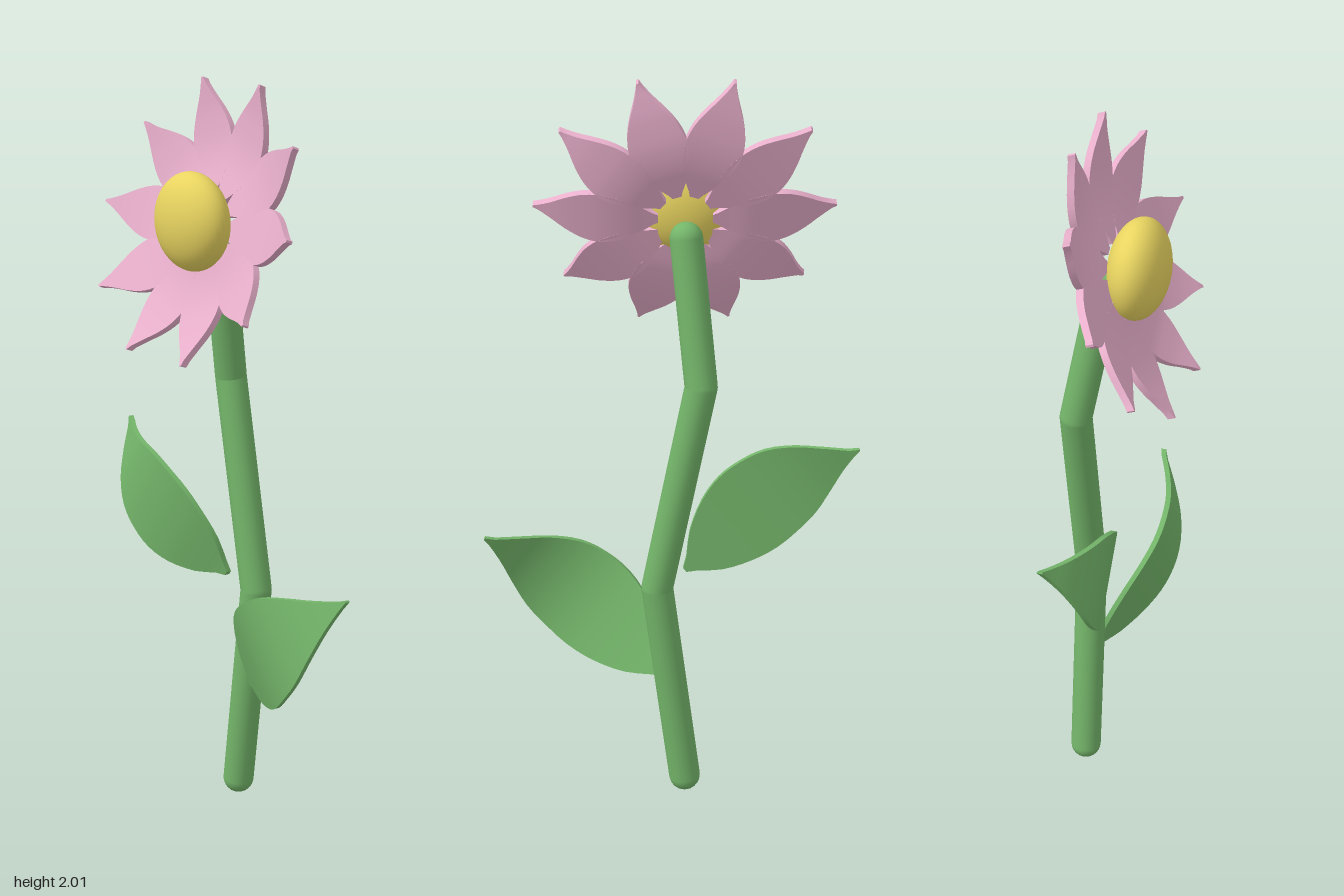
import * as THREE from 'three';

const green = new THREE.MeshStandardMaterial({ color: 0x74b56a });
const pink = new THREE.MeshStandardMaterial({ color: 0xe8afcb });
const yellow = new THREE.MeshStandardMaterial({ color: 0xe8d460 });

function mesh(name, geometry, material) {
  const m = new THREE.Mesh(geometry, material);
  m.name = name;
  return m;
}

// Thin curved blade along +y: evenly spaced half widths and depth offsets
function bladeGeometry(length, thickness, widths, depths) {
  const profile = new THREE.SplineCurve(widths.map((w, i) => new THREE.Vector2(w, depths[i])));
  const geo = new THREE.BoxGeometry(2, 1, thickness, 6, 24, 1);
  const pos = geo.attributes.position;
  for (let i = 0; i < pos.count; i++) {
    const t = pos.getY(i) + 0.5;
    const p = profile.getPoint(t);
    pos.setXYZ(i, pos.getX(i) * Math.max(p.x, 0.002), t * length, pos.getZ(i) + p.y);
  }
  geo.computeVertexNormals();
  return geo;
}

// Bent stem: straight rods with round joints and ends
function createStem() {
  const stem = new THREE.Group();
  stem.name = 'stem';
  const radius = 0.043;
  const points = [
    [-0.04, radius, -0.12], [0.035, 0.63, -0.12], [-0.08, 1.21, -0.12], [-0.042, 1.59, -0.05],
  ].map((p) => new THREE.Vector3(...p));
  points.forEach((p, i) => {
    const joint = mesh('stemJoint', new THREE.SphereGeometry(radius, 20, 14), green);
    joint.position.copy(p);
    stem.add(joint);
    if (i === 0) return;
    const dir = p.clone().sub(points[i - 1]);
    const rod = mesh('stemRod', new THREE.CylinderGeometry(radius, radius, dir.length(), 20, 1, true), green);
    rod.position.copy(p).add(points[i - 1]).multiplyScalar(0.5);
    rod.quaternion.setFromUnitVectors(new THREE.Vector3(0, 1, 0), dir.normalize());
    stem.add(rod);
  });
  return stem;
}

// Arched leaf aimed from its base to its tip in the front plane
function createLeaf(name, base, tip, depths) {
  const dx = tip[0] - base[0], dy = tip[1] - base[1];
  const length = Math.hypot(dx, dy);
  const widths = [0.012, 0.125, 0.195, 0.228, 0.225, 0.2, 0.14, 0.065, 0.004].map((w) => w * length);
  const leaf = mesh(name, bladeGeometry(length, 0.015, widths, depths), green);
  leaf.position.set(base[0], base[1], 0);
  leaf.rotation.z = -Math.atan2(dx, dy);
  return leaf;
}

// Ring of ten petals, leaning back
function createPetals() {
  const petals = new THREE.Group();
  petals.name = 'petals';
  const geo = bladeGeometry(0.32, 0.02,
    [0.012, 0.036, 0.057, 0.07, 0.074, 0.066, 0.047, 0.022, 0.003],
    [-0.02, -0.022, -0.024, -0.022, -0.016, -0.006, 0.006, 0.021, 0.036]);
  geo.translate(0, 0.07, 0);
  for (let i = 0; i < 10; i++) {
    const petal = mesh('petal', geo, pink);
    petal.rotation.z = Math.PI / 2 + (i * Math.PI) / 5;
    petals.add(petal);
  }
  petals.position.set(-0.04, 1.645, 0);
  petals.rotation.x = -0.35;
  return petals;
}

export function createModel() {
  const model = new THREE.Group();
  model.name = 'flower';
  model.add(createStem());
  model.add(createLeaf('leftLeaf', [0.015, 0.36], [0.5, 0.745],
    [-0.11, -0.07, -0.03, 0.005, 0.027, 0.032, 0.02, -0.01, -0.045]));
  model.add(createLeaf('rightLeaf', [-0.04, 0.665], [-0.5, 1.015],
    [-0.08, -0.05, -0.02, 0.0, 0.01, 0.01, -0.005, -0.04, -0.082]));
  model.add(createPetals());

  // Flattened seed head
  const head = mesh('flowerCentre', new THREE.SphereGeometry(1, 40, 28), yellow);
  head.scale.set(0.13, 0.13, 0.077);
  head.position.set(-0.04, 1.655, 0.04);
  model.add(head);
  return model;
}
